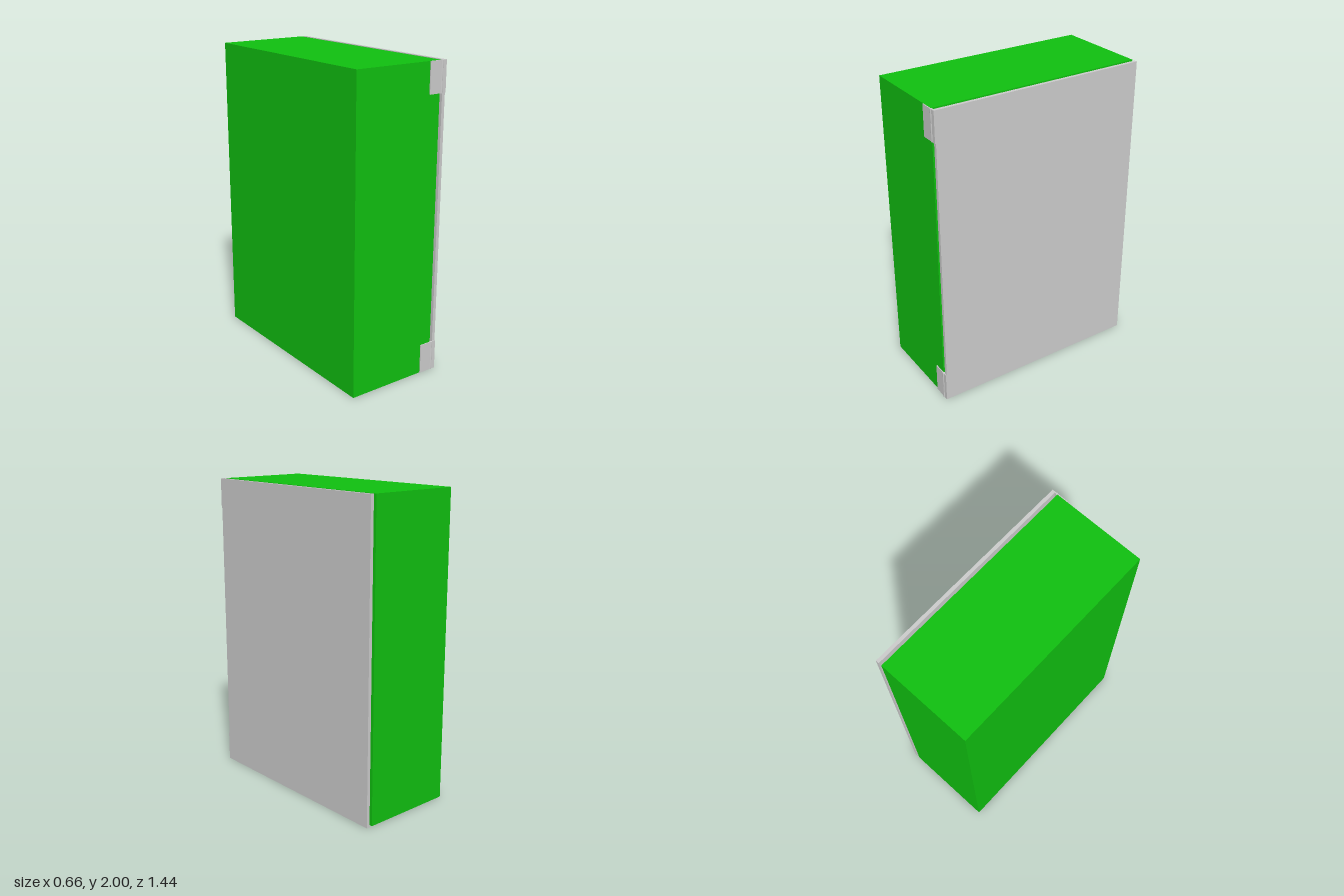
import * as THREE from 'three';

const GREY = new THREE.MeshStandardMaterial({ color: 0xcccccc });
const GREEN = new THREE.MeshStandardMaterial({ color: 0x10c010 });

// Box given by its minimum and maximum corners
function block(name, min, max, material) {
  const size = max.map((v, i) => v - min[i]);
  const mesh = new THREE.Mesh(new THREE.BoxGeometry(...size), material);
  mesh.position.set(...max.map((v, i) => (v + min[i]) / 2));
  mesh.name = name;
  return mesh;
}

export function createModel() {
  const model = new THREE.Group();
  model.name = 'hingedCabinet';
  const back = -0.718, front = 0.708;

  // Cabinet body and the thin door beside it
  model.add(block('body', [-0.33, 0, back], [0.288, 2, front], GREEN));
  model.add(block('door', [0.308, 0, back], [0.33, 2, front], GREY));

  // Two hinges: a leaf on the body, a leaf on the door edge, a pin between
  const height = 0.195;
  for (const [name, y] of [['lowerHinge', 0], ['upperHinge', 2 - height]]) {
    const hinge = new THREE.Group();
    hinge.name = name;
    hinge.add(block('bodyLeaf', [0.207, y, front], [0.294, y + height, front + 0.006], GREY));
    hinge.add(block('doorLeaf', [0.302, y, front], [0.33, y + height, front + 0.006], GREY));
    const pin = new THREE.Mesh(new THREE.CylinderGeometry(0.008, 0.008, height, 24), GREY);
    pin.name = 'hingePin';
    pin.position.set(0.296, y + height / 2, front + 0.002);
    hinge.add(pin);
    model.add(hinge);
  }
  return model;
}
